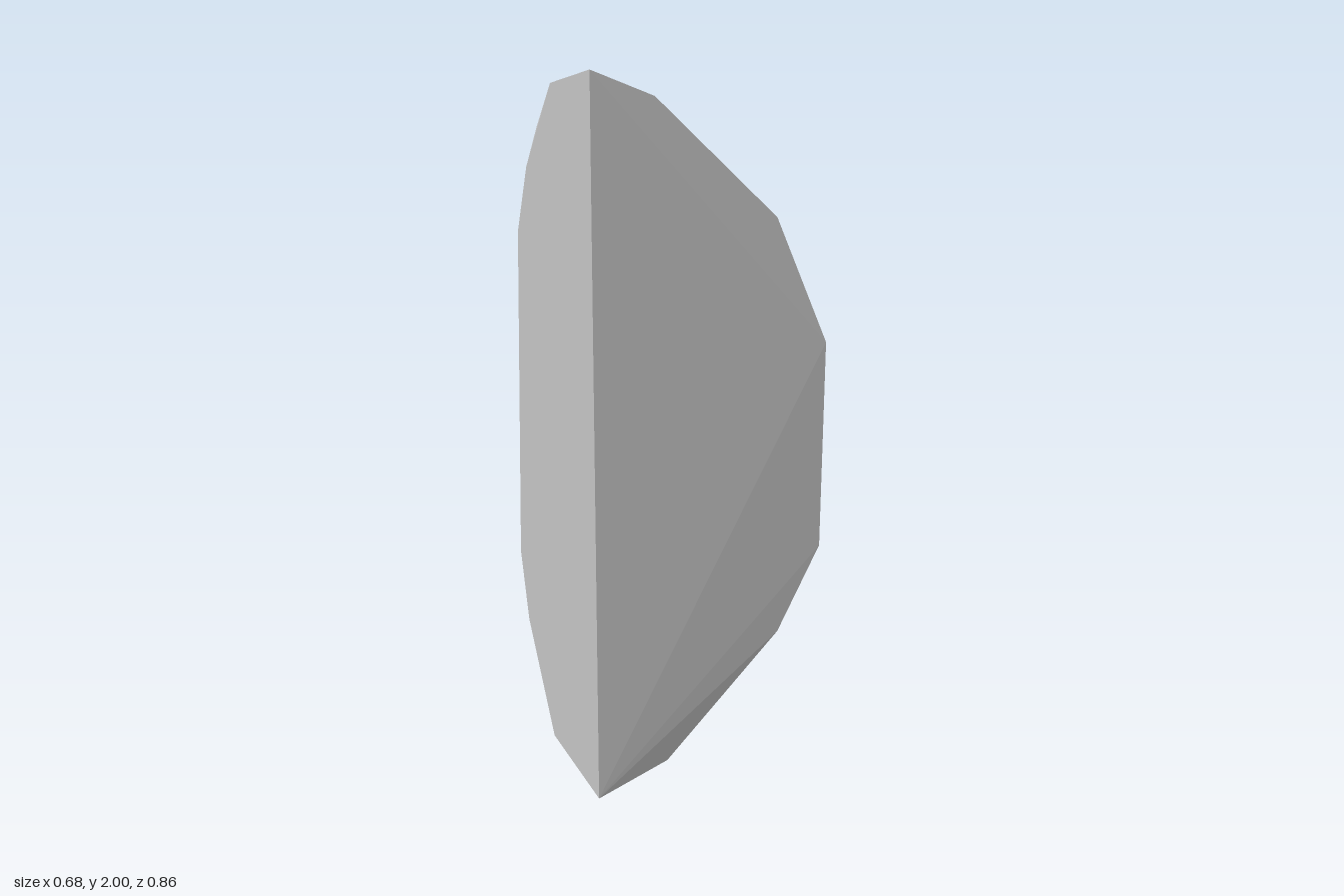
import * as THREE from 'three';
import { ConvexGeometry } from 'three/addons/geometries/ConvexGeometry.js';

// Faceted rock: flat front, flat side wall, rounded chiselled outer side.
export function createModel() {
  const group = new THREE.Group();
  group.name = 'rock';
  const stone = new THREE.MeshStandardMaterial({ color: 0xc8c8c8 });
  stone.name = 'stone grey';

  // outline of the flat front
  const front = [
    [-0.325, 2, 0.415], [-0.145, 1.93, 0.41], [0.205, 1.6, 0.402], [0.34, 1.255, 0.43],
    [0.33, 0.68, 0.42], [0.21, 0.44, 0.415], [-0.11, 0.09, 0.41], [-0.31, 0, 0.42],
  ];
  // outline of the flat side wall
  const wall = [
    [-0.34, 1.96, 0.02], [-0.335, 1.83, -0.18], [-0.34, 1.71, -0.3], [-0.34, 1.51, -0.425],
    [-0.34, 0.52, -0.43], [-0.34, 0.33, -0.32], [-0.34, 0.06, 0.01],
  ];
  // chiselled corners of the upper half
  const upper = [
    [-0.14, 1.91, 0.165], [-0.24, 1.93, 0.04], [-0.04, 1.8, 0.04], [0.07, 1.68, 0.05],
    [0.19, 1.58, 0.15], [-0.24, 1.81, -0.17], [-0.22, 1.7, -0.27], [0.2, 1.36, -0.07],
    [-0.025, 1.51, -0.27], [0.09, 1.47, -0.19], [0.085, 1.4, -0.27], [0.33, 1.26, 0.155],
    [0.2, 1.12, -0.17], [0.1, 1.25, -0.27], [-0.12, 1.37, -0.39], [-0.24, 1.5, -0.4],
  ];
  // chiselled corners of the lower half
  const lower = [
    [0.325, 0.78, 0.155], [0.33, 0.69, 0.27], [0.2, 0.88, -0.17], [0.1, 0.79, -0.27],
    [0.21, 0.69, -0.09], [0.12, 0.57, -0.17], [0.04, 0.57, -0.27], [-0.12, 0.56, -0.39],
    [0.2, 0.46, 0.16], [0.1, 0.36, 0.03], [-0.15, 0.13, 0.17], [-0.27, 0.09, 0.02],
    [-0.22, 0.31, -0.27],
  ];

  const points = [...front, ...wall, ...upper, ...lower].map((p) => new THREE.Vector3(...p));
  const body = new THREE.Mesh(new ConvexGeometry(points), stone);
  body.name = 'rockBody';
  group.add(body);
  return group;
}
